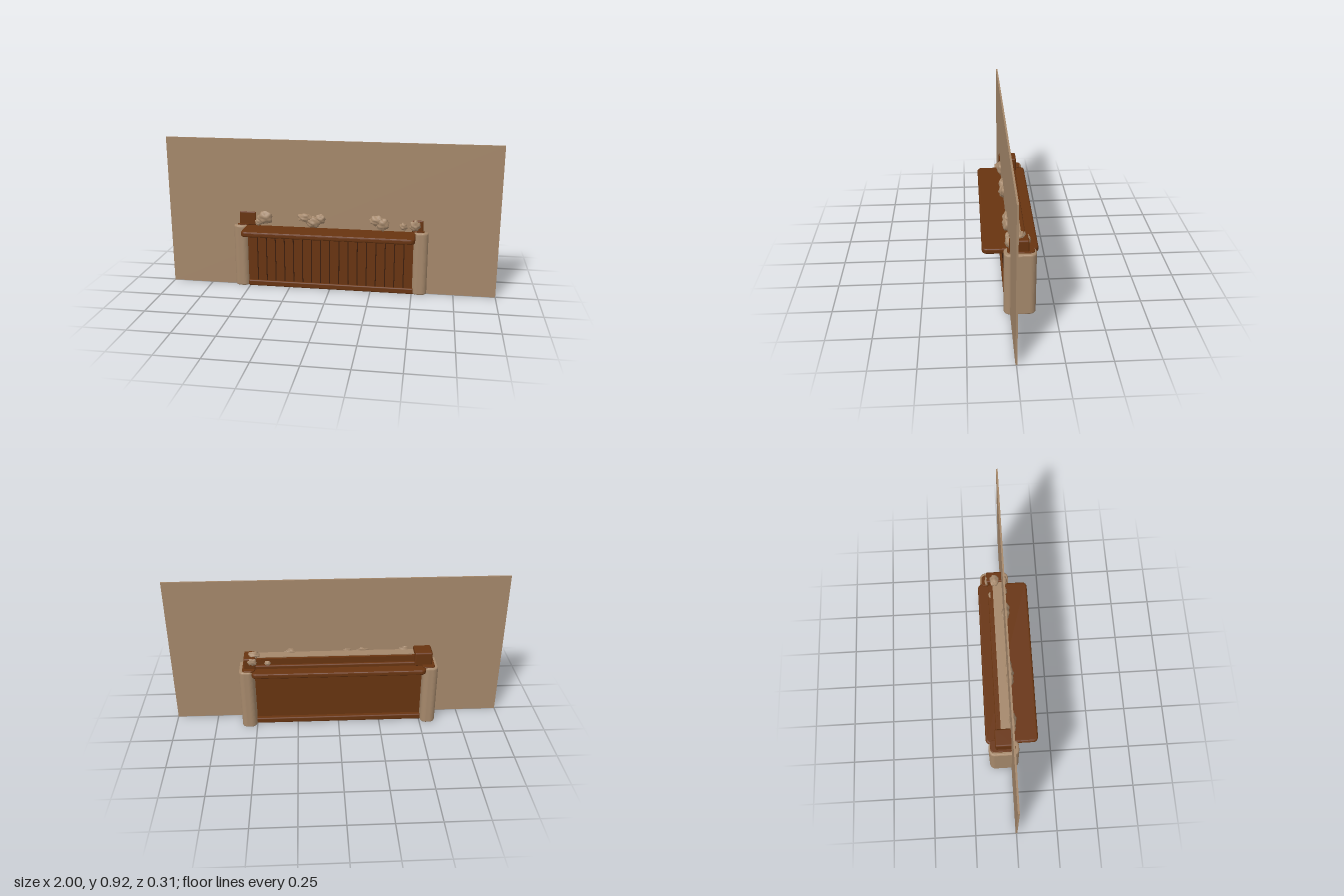
import * as THREE from 'three';
import { RoundedBoxGeometry } from 'three/addons/geometries/RoundedBoxGeometry.js';

export function createModel() {
  const root = new THREE.Group();
  root.name = 'planterCounter';
  const mat = (name, color) => {
    const m = new THREE.MeshStandardMaterial({ color });
    m.name = name;
    return m;
  };
  const tan = mat('tan plaster', 0xa5886b);
  const brown = mat('brown wood', 0x683410);
  const dark = mat('dark groove', 0x3c1d0a);

  const add = (name, geo, material, x = 0, y = 0, z = 0, parent = root) => {
    const m = new THREE.Mesh(geo, material);
    m.name = name;
    m.position.set(x, y, z);
    parent.add(m);
    return m;
  };
  // box given by its limits, optionally rounded
  const block = (name, material, [x0, x1], [y0, y1], [z0, z1], r = 0, parent = root) => {
    const s = [x1 - x0, y1 - y0, z1 - z0];
    const geo = r ? new RoundedBoxGeometry(...s, 3, r) : new THREE.BoxGeometry(...s);
    return add(name, geo, material, (x0 + x1) / 2, (y0 + y1) / 2, (z0 + z1) / 2, parent);
  };
  // horizontal slab with rounded plan corners and bevelled edges
  const slab = (name, material, [x0, x1], [y0, y1], [z0, z1], r, b) => {
    const w = (x1 - x0) / 2 - b, d = (z1 - z0) / 2 - b;
    const s = new THREE.Shape();
    s.moveTo(-w + r, -d);
    s.lineTo(w - r, -d);
    s.absarc(w - r, -d + r, r, -Math.PI / 2, 0);
    s.absarc(w - r, d - r, r, 0, Math.PI / 2);
    s.absarc(-w + r, d - r, r, Math.PI / 2, Math.PI);
    s.absarc(-w + r, -d + r, r, Math.PI, Math.PI * 1.5);
    const geo = new THREE.ExtrudeGeometry(s, {
      depth: y1 - y0 - 2 * b, bevelThickness: b, bevelSize: b, bevelSegments: 3, curveSegments: 8,
    });
    geo.rotateX(-Math.PI / 2);
    return add(name, geo, material, (x0 + x1) / 2, y0 + b, (z0 + z1) / 2);
  };

  // thin wall running through the counter
  block('wall', tan, [-1, 1], [0, 0.92], [-0.005, 0.005]);

  // rounded end posts with wooden caps
  for (const s of [-1, 1]) {
    slab('post', tan, s < 0 ? [-0.595, -0.505] : [0.5, 0.59], [0, 0.39], [-0.14, 0.04], 0.025, 0.01);
    slab('postCap', brown, s < 0 ? [-0.575, -0.5] : [0.495, 0.57], [0.38, 0.396], [-0.13, 0.02], 0.02, 0.003);
  }

  // counter body, rails and plank grooves
  block('body', brown, [-0.51, 0.51], [0, 0.37], [-0.075, 0.02]);
  block('frontBaseRail', brown, [-0.51, 0.51], [0, 0.036], [0, 0.032], 0.008);
  block('frontTopRail', brown, [-0.51, 0.51], [0.335, 0.365], [0, 0.035], 0.008);
  block('backBaseRail', brown, [-0.51, 0.51], [0, 0.036], [-0.1, -0.06], 0.008);
  block('backTopRail', brown, [-0.51, 0.51], [0.325, 0.365], [-0.1, -0.06], 0.008);
  const grooves = new THREE.Group();
  grooves.name = 'plankGrooves';
  root.add(grooves);
  const count = 18;
  for (let i = 1; i < count; i++) {
    const x = -0.505 + (1.01 * i) / count;
    block('groove', dark, [x - 0.003, x + 0.003], [0.036, 0.34], [0.018, 0.022], 0, grooves);
  }

  // counter top projecting to front and back
  slab('counterTop', brown, [-0.52, 0.515], [0.355, 0.388], [-0.155, 0.155], 0.02, 0.01);

  // planter trough with filling and end blocks
  block('troughBack', brown, [-0.52, 0.52], [0.38, 0.448], [-0.078, -0.06]);
  block('troughStep', brown, [-0.52, 0.52], [0.38, 0.41], [-0.092, -0.07], 0.008);
  block('troughFilling', tan, [-0.5, 0.5], [0.38, 0.452], [-0.062, 0.004]);
  block('endBlock', brown, [-0.56, -0.455], [0.385, 0.475], [-0.1, 0.01], 0.01);
  block('endBlock', brown, [0.49, 0.56], [0.385, 0.462], [-0.1, 0.01], 0.01);

  // crumpled plant clumps
  const clump = (x, y, z, rx, ry, rz, seed) => {
    const geo = new THREE.SphereGeometry(1, 20, 14);
    const p = geo.attributes.position;
    const v = new THREE.Vector3();
    for (let i = 0; i < p.count; i++) {
      v.fromBufferAttribute(p, i);
      const k = 0.88 + 0.13 * Math.sin(v.x * 6 + seed) * Math.cos(v.y * 5 + seed * 2)
        + 0.1 * Math.sin(v.z * 7 + v.y * 8 + seed * 3);
      p.setXYZ(i, v.x * k * rx, v.y * k * ry, v.z * k * rz);
    }
    geo.computeVertexNormals();
    add('plantClump', geo, tan, x, y, z);
  };
  [
    [-0.40, 0.44, 0.008, 0.05, 0.042, 0.025],
    [-0.44, 0.41, 0.008, 0.025, 0.025, 0.02],
    [-0.15, 0.45, 0.008, 0.05, 0.03, 0.024],
    [-0.10, 0.425, 0.01, 0.045, 0.037, 0.026],
    [-0.06, 0.445, 0.006, 0.035, 0.032, 0.02],
    [0.28, 0.45, 0.008, 0.045, 0.033, 0.025],
    [0.315, 0.43, 0.01, 0.045, 0.042, 0.026],
    [0.44, 0.42, 0.008, 0.025, 0.025, 0.02],
    [0.51, 0.43, 0.01, 0.035, 0.036, 0.022],
    [0.51, 0.44, -0.098, 0.03, 0.026, 0.012],
    [0.42, 0.42, -0.08, 0.02, 0.016, 0.012],
    [0.50, 0.462, -0.05, 0.04, 0.022, 0.03],
  ].forEach((c, i) => clump(...c, i * 1.7));

  return root;
}
